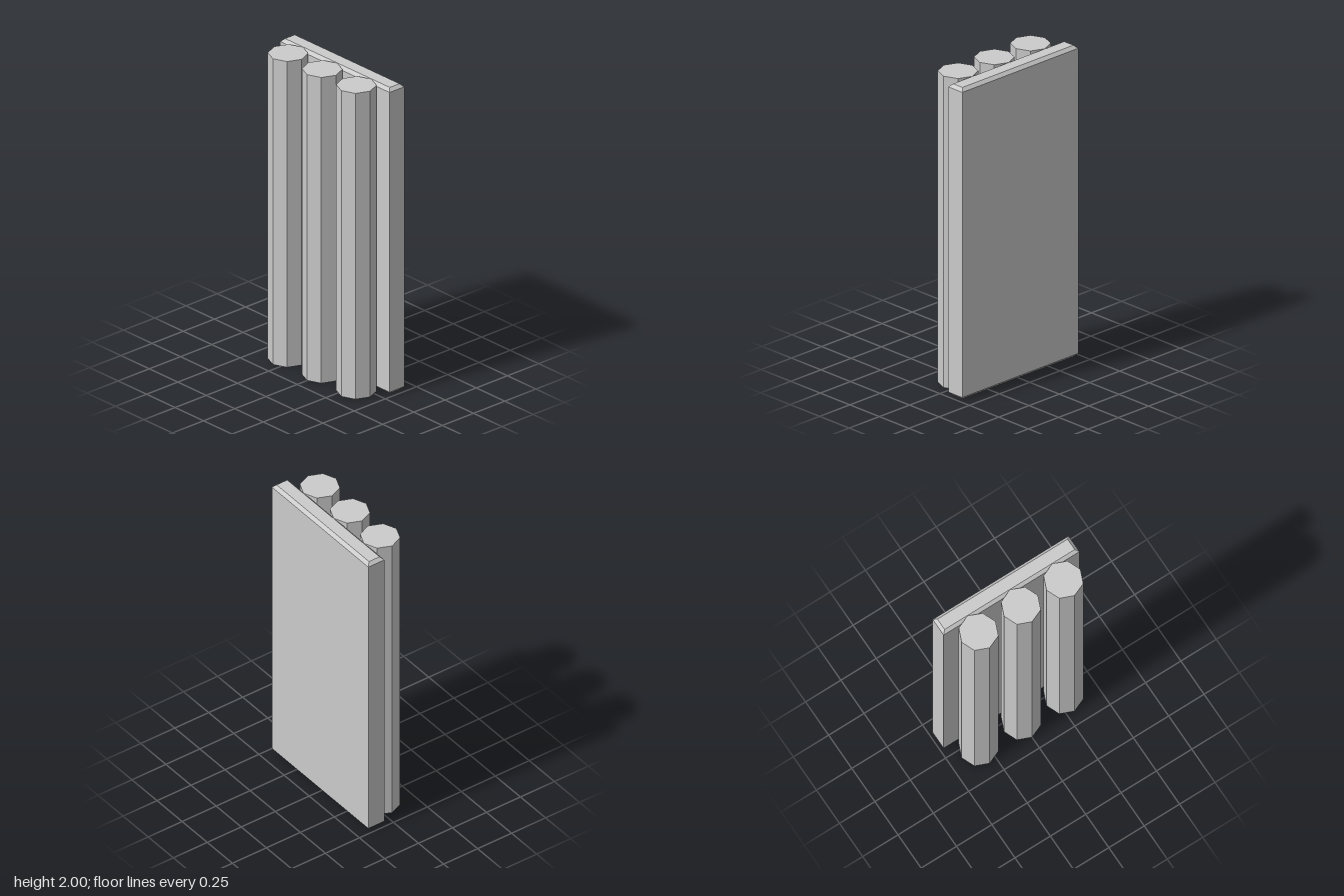
import * as THREE from 'three';

const HEIGHT = 2;
const BEVEL = 0.02;

// Flat slab whose top and bottom edges are bevelled on all four sides
function bevelledSlab(width, height, depth, bevel) {
  const box = new THREE.BoxGeometry(width, height, depth, 1, 3, 1);
  const pos = box.attributes.position;
  for (let i = 0; i < pos.count; i++) {
    const y = pos.getY(i);
    if (Math.abs(y) > height * 0.4) {
      pos.setX(i, Math.sign(pos.getX(i)) * (width / 2 - bevel));
      pos.setZ(i, Math.sign(pos.getZ(i)) * (depth / 2 - bevel));
    } else {
      pos.setY(i, Math.sign(y) * (height / 2 - bevel));
    }
  }
  const flat = box.toNonIndexed();
  flat.computeVertexNormals();
  return flat;
}

export function createModel() {
  const group = new THREE.Group();
  group.name = 'columnPanel';
  const material = new THREE.MeshStandardMaterial({ color: 0xcccccc, flatShading: true });

  // Back panel
  const panel = new THREE.Mesh(bevelledSlab(0.96, HEIGHT, 0.118, BEVEL), material);
  panel.name = 'backPanel';
  panel.position.set(0, HEIGHT / 2, -0.111);
  group.add(panel);

  // Three octagonal columns set slightly into the panel
  const columnGeometry = new THREE.CylinderGeometry(0.12, 0.12, HEIGHT, 8);
  ['rightColumn', 'middleColumn', 'leftColumn'].forEach((name, i) => {
    const column = new THREE.Mesh(columnGeometry, material);
    column.name = name;
    column.position.set((i - 1) * 0.3, HEIGHT / 2, 0.05);
    group.add(column);
  });

  return group;
}
